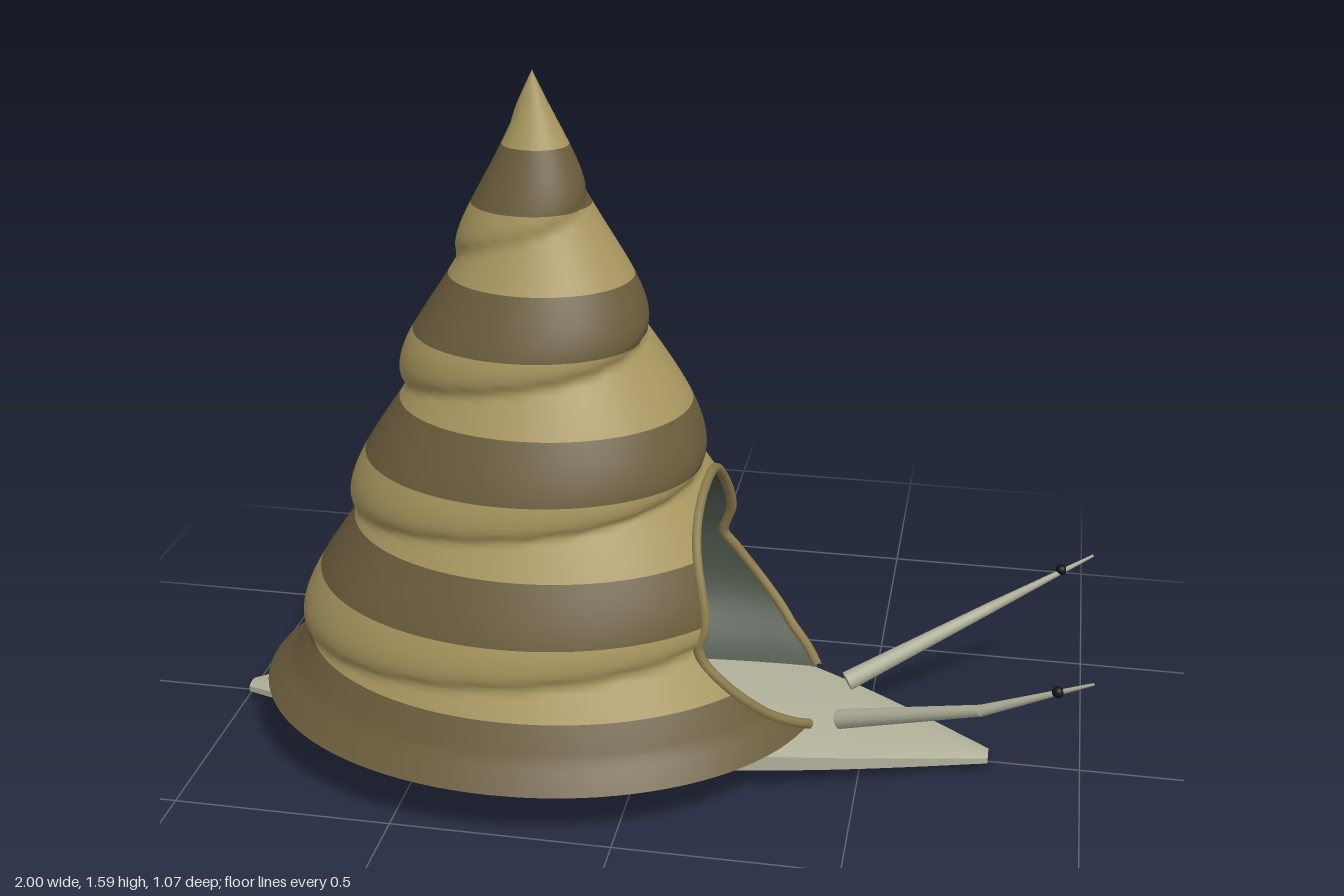
import * as THREE from 'three';
import { mergeVertices, toCreasedNormals } from 'three/addons/utils/BufferGeometryUtils.js';

const BASE = 0.14, TOP = 1.59, CX = -0.26, PITCH = 0.305;
const ROWS = 100, COLS = 96;

const mat = (color, side = THREE.FrontSide) => {
  const m = new THREE.MeshStandardMaterial({ color });
  m.side = side;
  return m;
};
const mesh = (name, geometry, material) => {
  const m = new THREE.Mesh(geometry, material);
  m.name = name;
  return m;
};

// Indexed grid surface; isFirst(row) sorts rows into a leading index range
function grid(fn, nu, nv, isFirst = () => true) {
  const pos = [], first = [], second = [];
  for (let i = 0; i <= nu; i++) for (let j = 0; j <= nv; j++) pos.push(...fn(i, j));
  for (let i = 0; i < nu; i++) for (let j = 0; j < nv; j++) {
    const a = i * (nv + 1) + j, b = a + nv + 1;
    (isFirst(i) ? first : second).push(a, b, a + 1, b, b + 1, a + 1);
  }
  let g = new THREE.BufferGeometry();
  g.setAttribute('position', new THREE.Float32BufferAttribute(pos, 3));
  g.setIndex([...first, ...second]);
  g = mergeVertices(g, 1e-5);
  g.computeVertexNormals();
  g.userData.split = first.length;
  return g;
}

// Shell radius (in z): a straight cone with whorls winding down around it
function radius(y, angle) {
  const notch = 0.715 - PITCH * angle / (2 * Math.PI);
  let t = (y - notch) / PITCH;
  t -= Math.floor(t);
  const bulge = 0.034 * Math.min(1, (TOP - y) / 0.6) * Math.sin(Math.PI * Math.pow(t, 0.6));
  const flare = 0.02 * Math.max(0, 1 - (y - BASE) / 0.06);
  return (TOP - y) * 0.342 + bulge + flare;
}
function shellPoint(y, angle) {
  const r = radius(y, angle);
  return [CX + 1.22 * r * Math.cos(angle), y, r * Math.sin(angle)];
}

// Half width of the mouth at a height, and the matching angle on the shell
function mouthHalfWidth(y) {
  const d = (y - 0.33) / (y > 0.33 ? 0.35 : 0.22);
  return Math.abs(d) < 1 ? 0.26 * Math.sqrt(1 - d * d) : 0;
}
function mouthAngle(y, side) {
  const h = mouthHalfWidth(y);
  let a = 0;
  if (h > 0) for (let i = 0; i < 5; i++) {
    a = Math.asin(Math.min(1, h / radius(y, side > 0 ? a : 2 * Math.PI - a)));
  }
  return side > 0 ? a : 2 * Math.PI - a;
}

function makeShell() {
  const group = new THREE.Group();
  group.name = 'shell';

  // Spiral wall in dark and light bands
  const wall = grid((i, j) => {
    const y = BASE + (TOP - BASE) * i / ROWS;
    const a0 = mouthAngle(y, 1), a1 = mouthAngle(y, -1);
    return shellPoint(y, a0 + (a1 - a0) * j / COLS);
  }, ROWS, COLS, i => i % 20 < 9);
  const index = Array.from(wall.index.array), split = wall.userData.split;
  const bands = [['darkBands', 0x6a5c3c, index.slice(0, split)],
    ['lightBands', 0xa8965f, index.slice(split)]];
  for (const [name, color, part] of bands) {
    const g = wall.clone();
    g.setIndex(part);
    group.add(mesh(name, g, mat(color, THREE.DoubleSide)));
  }

  // Lip around the mouth
  const N = 48, rim = [];
  const low = Math.asin((BASE - 0.33) / 0.22);
  for (let k = 0; k <= N; k++) {
    const a = low + (Math.PI - 2 * low) * k / N;
    const y = 0.33 + Math.sin(a) * (Math.sin(a) > 0 ? 0.35 : 0.22);
    const side = Math.cos(a) >= 0 ? 1 : -1;
    rim.push(new THREE.Vector3(...shellPoint(y, mouthAngle(y, side))));
  }
  const lip = new THREE.TubeGeometry(new THREE.CatmullRomCurve3(rim), 96, 0.012, 8);
  group.add(mesh('mouthLip', lip, mat(0x8a7a4c)));

  // Dark hollow behind the mouth
  const L = 14;
  const hollow = grid((i, j) => {
    const a = i / L * Math.PI / 2, s = Math.cos(a), p = rim[j];
    return [p.x + (-0.3 - p.x) * Math.sin(a) * 0.95, BASE + (p.y - BASE) * s, p.z * s];
  }, L, N);
  group.add(mesh('mouthHollow', hollow, mat(0x4a5347, THREE.DoubleSide)));
  return group;
}

// Leaf-shaped foot, bowed up in the middle
function makeFoot() {
  const n = 48;
  // cross-section: across, and how far up the bottom / wall / top
  const half = [[0, 0, 0], [0.3, 0.1, 0], [0.55, 0.28, 0], [0.8, 0.6, 0], [1, 1, 0],
    [1, 1, 0.7], [0.8, 1, 0.84], [0.5, 1, 0.96], [0, 1, 1]];
  const section = [...half, ...half.slice(0, -1).reverse().map(([z, b, t]) => [-z, b, t])];
  const g = grid((i, j) => {
    const k = THREE.MathUtils.clamp((i - 1) / (n - 2), 0, 1);
    const u = 2 * k - 1, c = Math.cos(u * Math.PI / 2);
    const cap = i === 0 || i === n ? 0 : 1;
    const [z, b, t] = section[j];
    const bottom = 0.005 + 0.025 * c, edge = bottom + 0.008 + 0.045 * c;
    const top = 0.032 + 0.113 * c;
    const y = t > 0 ? edge + (top - edge) * t : bottom + (edge - bottom) * b;
    const mid = (bottom + top) / 2;
    return [-0.105 + 0.895 * u, mid + (y - mid) * cap, z * (0.022 + 0.273 * c) * cap];
  }, n, section.length - 1);
  return mesh('foot', toCreasedNormals(g, 0.7), mat(0xb0b09a));
}

// Tapered rod between two points
function rod(name, from, to, r0, r1, material) {
  const d = to.clone().sub(from);
  const m = mesh(name, new THREE.CylinderGeometry(r1, r0, d.length(), 14), material);
  m.position.copy(from).addScaledVector(d, 0.5);
  m.quaternion.setFromUnitVectors(new THREE.Vector3(0, 1, 0), d.normalize());
  return m;
}

function makeTentacle(name, s) {
  const group = new THREE.Group();
  group.name = name;
  const skin = mat(0xb0b09a);
  const root = new THREE.Vector3(0.45, 0.133, s * 0.087);
  const bend = new THREE.Vector3(0.77, 0.28, s * 0.24);
  const tip = new THREE.Vector3(1, 0.407, s * 0.305);
  group.add(rod('lowerStalk', root, bend, 0.023, 0.013, skin));
  group.add(rod('upperStalk', bend, tip, 0.013, 0.003, skin));
  const eye = mesh('eye', new THREE.SphereGeometry(0.013, 14, 10), mat(0x111111));
  eye.position.set(0.928, 0.371, s * 0.288);
  group.add(eye);
  return group;
}

export function createModel() {
  const model = new THREE.Group();
  model.name = 'snail';
  model.add(makeShell(), makeFoot(), makeTentacle('frontTentacle', 1), makeTentacle('backTentacle', -1));
  return model;
}
